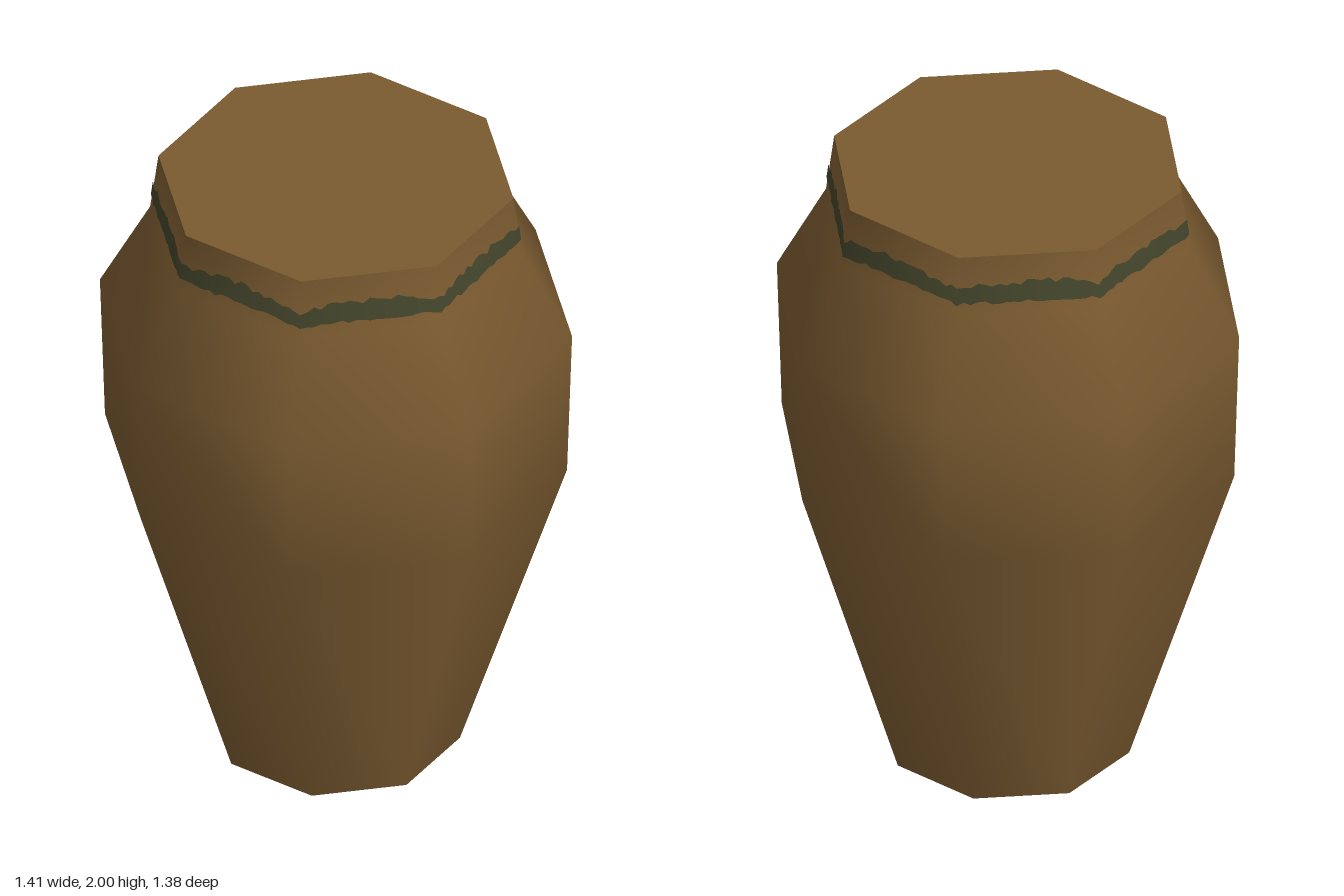
import * as THREE from 'three';

const SIDES = 8;
const TURN = 0.028; // slight twist of the octagon
const DEPTH = 0.98; // slightly narrower front to back

const profile = [[0.37, 0], [0.69, 1.03], [0.705, 1.52], [0.555, 1.81], [0.53, 2]];

function seeded(seed) {
  return () => (seed = (seed * 16807) % 2147483647) / 2147483647;
}

// Ragged painted band that follows the flat sides of the neck
function bandGeometry() {
  const rand = seeded(77);
  const steps = 20, count = SIDES * steps;
  const positions = [], normals = [], index = [];
  const corner = (k) => TURN + (k * Math.PI * 2) / SIDES;
  for (let i = 0; i < count; i++) {
    const k = Math.floor(i / steps), t = (i % steps) / steps;
    const a = corner(k), b = corner(k + 1);
    const x = THREE.MathUtils.lerp(Math.sin(a), Math.sin(b), t);
    const z = THREE.MathUtils.lerp(Math.cos(a), Math.cos(b), t);
    const swell = Math.sin(Math.PI * t);
    const low = 1.85 + (rand() - 0.5) * 0.012;
    const high = 1.898 + 0.016 * swell + (rand() - 0.5) * 0.022;
    const angle = a + (t * Math.PI * 2) / SIDES;
    const n = new THREE.Vector3(Math.sin(angle), 0.25, Math.cos(angle)).normalize();
    for (const y of [low, high]) {
      const r = 0.555 - ((y - 1.81) * 0.025) / 0.19 + 0.004;
      positions.push(x * r, y, z * r * DEPTH);
      normals.push(n.x, n.y, n.z);
    }
    const p = i * 2, q = ((i + 1) % count) * 2;
    index.push(p, q, p + 1, q, q + 1, p + 1);
  }
  const geometry = new THREE.BufferGeometry();
  geometry.setAttribute('position', new THREE.Float32BufferAttribute(positions, 3));
  geometry.setAttribute('normal', new THREE.Float32BufferAttribute(normals, 3));
  geometry.setIndex(index);
  return geometry;
}

export function createModel() {
  const group = new THREE.Group();
  group.name = 'vase';
  const clay = new THREE.MeshStandardMaterial({ color: 0x7a5a30 });
  clay.name = 'brown clay';
  const paint = new THREE.MeshStandardMaterial({ color: 0x42432a });
  paint.name = 'dark green paint';

  const add = (name, geometry, material) => {
    const mesh = new THREE.Mesh(geometry, material);
    mesh.name = name;
    group.add(mesh);
  };

  // Smooth-shaded octagonal body
  const points = profile.map(([r, y]) => new THREE.Vector2(r, y));
  add('body', new THREE.LatheGeometry(points, SIDES, TURN).scale(1, 1, DEPTH), clay);

  // Flat closed top and base
  const cap = (radius, y, up) =>
    new THREE.CircleGeometry(radius, SIDES)
      .rotateX(up ? -Math.PI / 2 : Math.PI / 2)
      .rotateY(TURN)
      .scale(1, 1, DEPTH)
      .translate(0, y, 0);
  add('top', cap(0.53, 2, true), clay);
  add('base', cap(0.37, 0, false), clay);

  add('neckBand', bandGeometry(), paint);
  return group;
}
